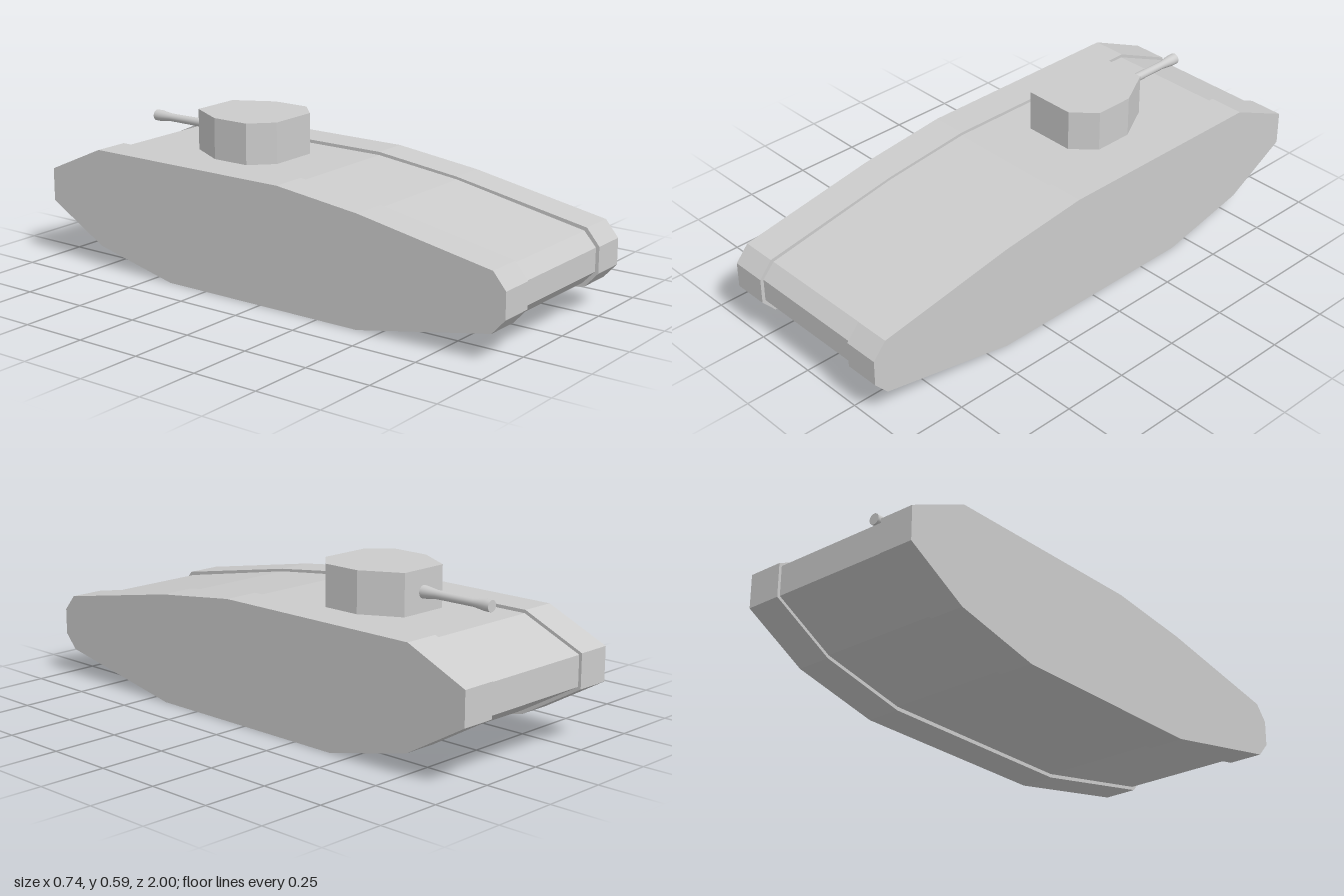
import * as THREE from 'three';

const material = new THREE.MeshStandardMaterial({ color: 0xcccccc, flatShading: true });
const smooth = new THREE.MeshStandardMaterial({ color: 0xcccccc });

// Side outlines as [z, y]
const trackOutline = [
  [-0.42, 0], [0.42, 0], [0.95, 0.102], [1, 0.157], [1, 0.253], [0.95, 0.312],
  [0.42, 0.407], [0.08, 0.447], [-0.76, 0.447], [-1, 0.34], [-1, 0.215], [-0.76, 0.078],
];
const hullOutline = [
  [-0.42, 0.014], [0.42, 0.014], [0.94, 0.113], [0.987, 0.162], [0.987, 0.248], [0.94, 0.3],
  [0.42, 0.397], [0.08, 0.435], [-0.757, 0.435], [-0.989, 0.333], [-0.989, 0.222], [-0.757, 0.09],
];
// Turret plan as [x, -z]
const turretPlan = [
  [-0.097, 0.135], [0.097, 0.135], [0.177, 0.212], [0.177, 0.36],
  [0.097, 0.505], [-0.097, 0.505], [-0.177, 0.36], [-0.177, 0.212],
];

function extrude(points, depth) {
  const shape = new THREE.Shape(points.map(([a, b]) => new THREE.Vector2(a, b)));
  return new THREE.ExtrudeGeometry(shape, { depth, bevelEnabled: false });
}

// Slab with a side outline, spanning the given width about x
function slab(name, outline, width, x) {
  const geometry = extrude(outline, width).translate(0, 0, -width / 2).rotateY(-Math.PI / 2);
  const mesh = new THREE.Mesh(geometry, material);
  mesh.name = name;
  mesh.position.x = x;
  return mesh;
}

export function createModel() {
  const model = new THREE.Group();
  model.name = 'tank';

  // Hull between the two track housings
  model.add(slab('hull', hullOutline, 0.468, 0));
  for (const [name, side] of [['leftTrack', 1], ['rightTrack', -1]]) {
    model.add(slab(name, trackOutline, 0.134, side * 0.301));
  }

  // Eight-sided turret
  const turret = new THREE.Mesh(extrude(turretPlan, 0.158).rotateX(-Math.PI / 2), material);
  turret.name = 'turret';
  turret.position.y = 0.43;
  model.add(turret);

  // Gun barrel with a thick root and a flared muzzle, pointing to -z
  const profile = [
    [0.024, 0], [0.022, 0.02], [0.016, 0.065], [0.015, 0.225], [0.021, 0.275], [0.021, 0.3],
  ].map(([r, l]) => new THREE.Vector2(r, l));
  const gun = new THREE.Group();
  gun.name = 'gun';
  const barrel = new THREE.Mesh(new THREE.LatheGeometry(profile, 20), smooth);
  barrel.name = 'barrel';
  const muzzle = new THREE.Mesh(new THREE.CircleGeometry(0.021, 20).rotateX(-Math.PI / 2), smooth);
  muzzle.name = 'muzzle';
  muzzle.position.y = 0.3;
  gun.add(barrel, muzzle);
  gun.rotation.x = -Math.PI / 2;
  gun.position.set(0, 0.508, -0.502);
  model.add(gun);

  return model;
}
